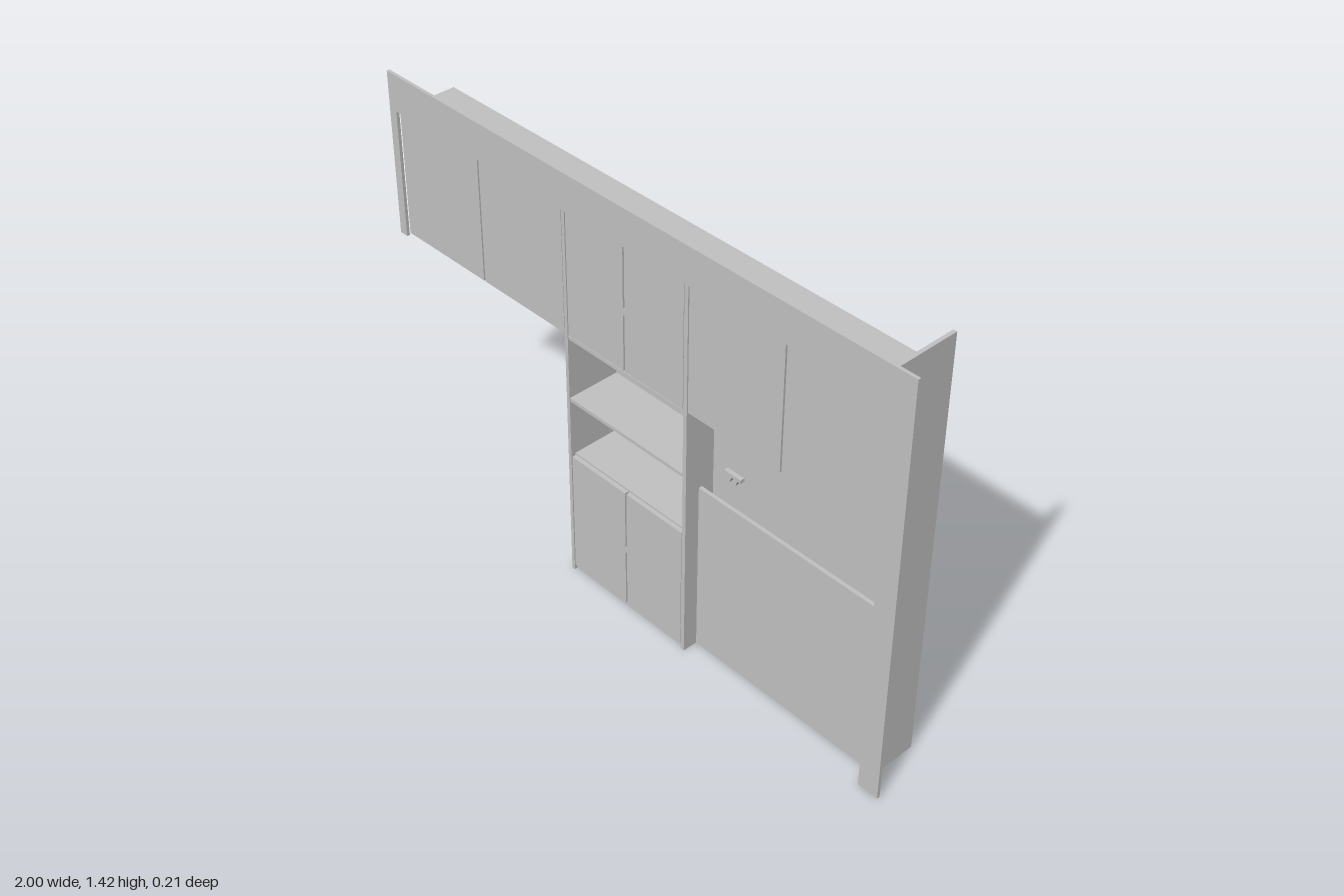
import * as THREE from 'three';

const grey = new THREE.MeshStandardMaterial({ color: 0xc0c0c0 });
grey.name = 'panelGrey';
const black = new THREE.MeshStandardMaterial({ color: 0x222222 });
black.name = 'footBlack';

const BACK = -0.105, FRONT = 0.095, TOP = 1.3, MID = 0.88;

// Box given by its limits on each axis
function box(parent, name, x0, x1, y0, y1, z0, z1, mat = grey) {
  const m = new THREE.Mesh(new THREE.BoxGeometry(x1 - x0, y1 - y0, z1 - z0), mat);
  m.position.set((x0 + x1) / 2, (y0 + y1) / 2, (z0 + z1) / 2);
  m.name = name;
  parent.add(m);
  return m;
}

function group(parent, name) {
  const g = new THREE.Group();
  g.name = name;
  parent.add(g);
  return g;
}

// Two doors with narrow gaps around them
function doorPair(parent, x0, x1, y0, y1) {
  const xm = (x0 + x1) / 2, gap = 0.003;
  box(parent, 'rightDoor', x0 + gap, xm - gap, y0 + gap, y1 - gap, 0.08, 0.094);
  box(parent, 'leftDoor', xm + gap, x1 - gap, y0 + gap, y1 - gap, 0.08, 0.094);
}

// Wall cupboard with a framed back of two rows of panels
function wallCupboard(parent, name, x0, x1) {
  const g = group(parent, name);
  const t = 0.01, xm = (x0 + x1) / 2;
  box(g, 'carcass', x0 + t, x1 - t, MID, TOP, -0.092, 0.077);
  box(g, 'rightSide', x0, x0 + t, MID, TOP, BACK, 0.079);
  box(g, 'leftSide', x1 - t, x1, MID, TOP, BACK, 0.079);
  for (const [y0, y1] of [[MID, 0.925], [1.06, 1.085], [1.265, TOP]])
    box(g, 'backRail', x0 + t, x1 - t, y0, y1, BACK, -0.091);
  for (const [y0, y1] of [[0.925, 1.035], [1.085, 1.24]])
    box(g, 'backStile', xm - 0.007, xm + 0.007, y0, y1, BACK, -0.091);
  doorPair(g, x0, x1, MID, TOP);
}

// Levelling foot: mounting plate, ribs, stem and pad
function foot(parent, x, z) {
  const g = group(parent, 'levellingFoot');
  g.position.set(x, 0, z);
  const cyl = (name, r0, r1, h, y) => {
    const m = new THREE.Mesh(new THREE.CylinderGeometry(r0, r1, h, 12), black);
    m.position.y = y;
    m.name = name;
    g.add(m);
  };
  cyl('pad', 0.018, 0.021, 0.008, 0.004);
  cyl('stem', 0.012, 0.012, 0.022, 0.017);
  box(g, 'ribAcross', -0.026, 0.026, 0.018, 0.03, -0.006, 0.006, black);
  box(g, 'ribAlong', -0.006, 0.006, 0.018, 0.03, -0.026, 0.026, black);
}

export function createModel() {
  const root = new THREE.Group();
  root.name = 'wallUnit';

  // Front trim
  const trim = group(root, 'trim');
  box(trim, 'topFascia', -1, 1, TOP, 1.42, FRONT, 0.105);
  box(trim, 'tallFillerStrip', 0.93, 1, 0, TOP, FRONT, 0.105);
  box(trim, 'shortFillerStrip', -1, -0.97, 0.875, TOP, FRONT, 0.105);
  box(trim, 'tallEndPanel', 0.925, 0.937, 0, 1.42, BACK, FRONT);

  // Wall cupboards either side of the column
  wallCupboard(root, 'rightWallCupboard', -0.97, -0.262);
  wallCupboard(root, 'leftWallCupboard', 0.232, 0.925);

  // Tall column with open shelves between two cupboards
  const col = group(root, 'column');
  box(col, 'rightSide', -0.262, -0.25, 0, TOP, BACK, FRONT);
  box(col, 'leftSide', 0.218, 0.232, 0, TOP, BACK, FRONT);
  box(col, 'backPanel', -0.25, 0.218, 0.03, TOP, -0.096, -0.086);
  for (const [y0, y1] of [[0.03, 0.055], [0.655, 0.675], [1.265, TOP]])
    box(col, 'backRail', -0.25, 0.218, y0, y1, BACK, -0.095);
  for (const y of [0.03, 0.438, 0.648, 0.868, 1.288])
    box(col, 'shelf', -0.25, 0.218, y, y + 0.012, -0.086, y > 0.44 && y < 0.87 ? 0.093 : 0.079);
  box(col, 'kickBoard', -0.25, 0.218, 0, 0.018, 0.07, 0.085);
  doorPair(col, -0.25, 0.218, 0.018, 0.448);
  doorPair(col, -0.25, 0.218, MID, TOP);
  for (const y of [0.23, 1.08])
    box(col, 'doorCatch', -0.019, -0.013, y - 0.01, y + 0.01, 0.08, 0.094);

  // Recessed panel section below the left wall cupboard
  const bay = group(root, 'panelBay');
  box(bay, 'lowerFrontPanel', 0.232, 0.925, 0, 0.592, 0.033, 0.045);
  box(bay, 'recessedPanel', 0.232, 0.925, 0.03, MID, -0.022, -0.01);
  box(bay, 'bottomBoard', 0.232, 0.925, 0.03, 0.042, -0.1, 0.033);
  box(bay, 'lowerBackPanel', 0.232, 0.925, 0.03, 0.555, -0.1, -0.09);
  box(bay, 'backRail', 0.232, 0.925, 0.555, 0.57, BACK, -0.085);
  box(bay, 'upperBackPanel', 0.232, 0.925, 0.57, MID, -0.1, -0.09);

  // Small fitting on the recessed panel
  const fit = group(bay, 'wallFitting');
  box(fit, 'fittingBar', 0.288, 0.352, 0.656, 0.668, -0.01, 0.004);
  for (const x of [0.305, 0.328]) {
    const arm = box(fit, 'fittingArm', x, x + 0.008, 0.638, 0.658, -0.01, 0.004);
    arm.rotation.z = -0.35;
  }

  // Feet
  for (const x of [-0.21, 0.17]) for (const z of [-0.07, 0.045]) foot(root, x, z);
  for (const x of [0.28, 0.87]) foot(root, x, -0.03);

  return root;
}
